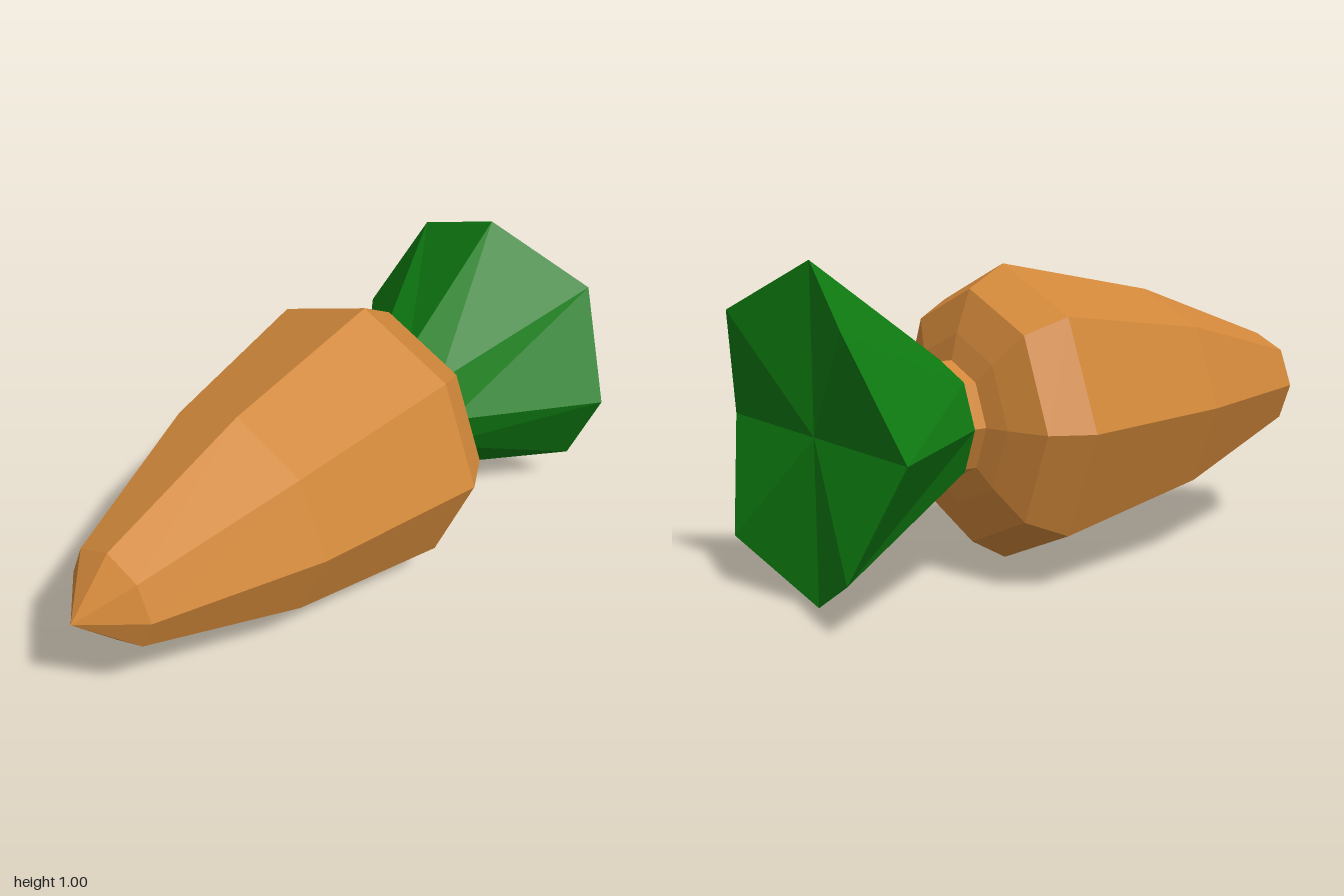
import * as THREE from 'three';

const SIDES = 8;

// Eight-sided lathe along z from [radius, z] pairs, ordered back to front
function latheAlongZ(profile) {
  const points = profile.map(([r, z]) => new THREE.Vector2(r, z));
  return new THREE.LatheGeometry(points, SIDES).rotateX(Math.PI / 2);
}

// Split the faces so each one is shaded flat
function faceted(geometry) {
  const flat = geometry.toNonIndexed();
  flat.computeVertexNormals();
  return flat;
}

function part(name, geometry, material) {
  const mesh = new THREE.Mesh(faceted(geometry), material);
  mesh.name = name;
  return mesh;
}

export function createModel() {
  const orange = new THREE.MeshStandardMaterial({ color: 0xd2883a });
  orange.name = 'carrotOrange';
  const green = new THREE.MeshStandardMaterial({ color: 0x0f7d12 });
  green.name = 'leafGreen';

  // Root with rounded shoulder and short neck
  const root = part('root', latheAlongZ([
    [0, -0.48], [0.18, -0.48], [0.18, -0.435], [0.26, -0.415], [0.39, -0.367],
    [0.46, -0.245], [0.35, 0.325], [0.165, 0.847], [0, 1],
  ]), orange);

  // Flared leaf tuft; every second rim corner is drawn out into a tip
  const leafProfile = [[0, -0.9], [0.5, -0.9], [0.188, -0.48], [0, -0.48]];
  const leafGeometry = latheAlongZ(leafProfile);
  const position = leafGeometry.attributes.position;
  for (let i = 1; i <= SIDES; i += 2) {
    const k = i * leafProfile.length + 1;
    position.setXYZ(k, position.getX(k) * 0.96, position.getY(k) * 0.96, -0.995);
  }
  const leaves = part('leaves', leafGeometry, green);

  // The whole carrot lies on its side, turned very slightly
  const carrot = new THREE.Group();
  carrot.name = 'carrot';
  carrot.add(root, leaves);
  carrot.rotation.y = 0.0165;
  carrot.position.set(0.014, 0.5, 0);

  const model = new THREE.Group();
  model.name = 'model';
  model.add(carrot);
  return model;
}
